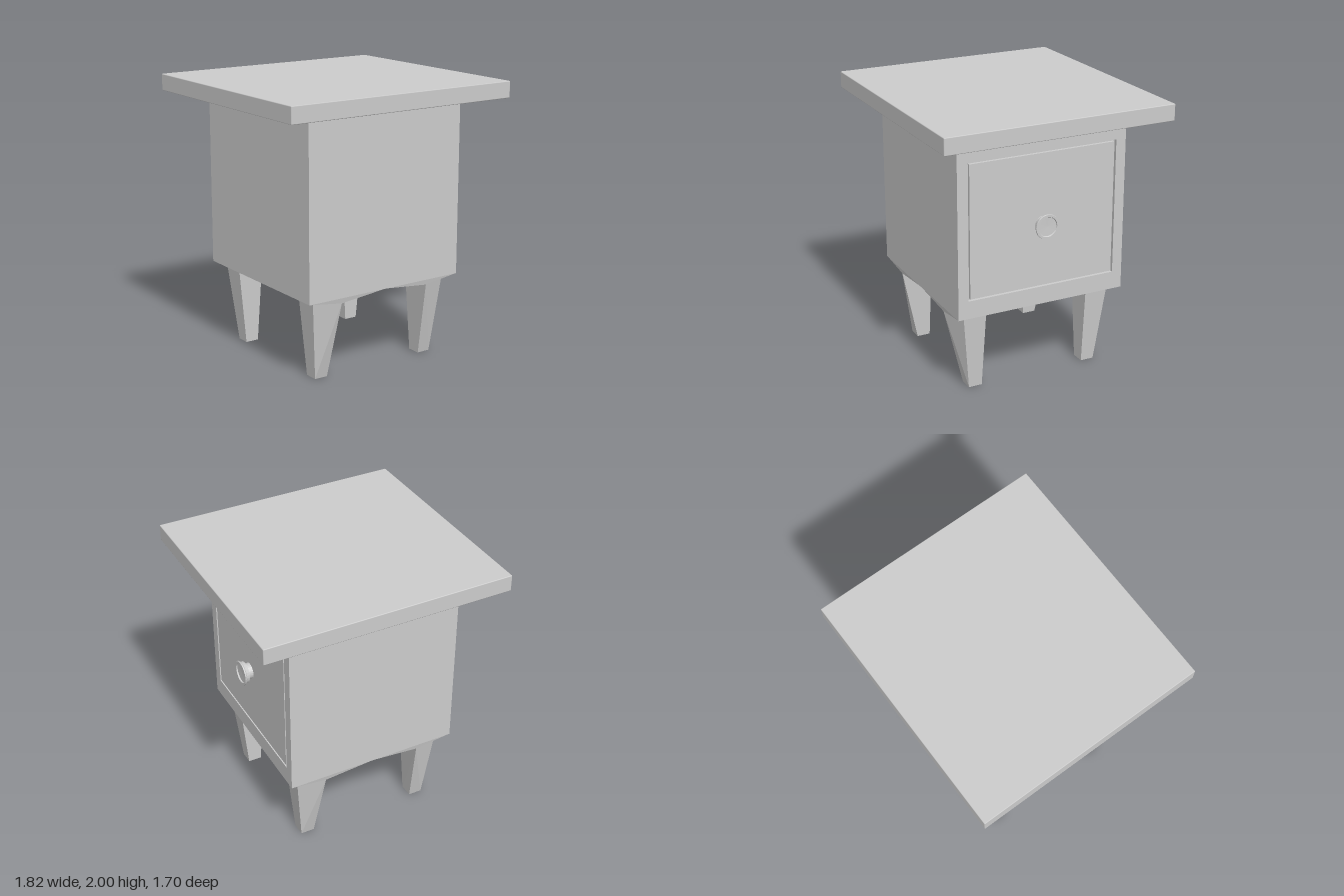
import * as THREE from 'three';
import { RoundedBoxGeometry } from 'three/addons/geometries/RoundedBoxGeometry.js';
import { ConvexGeometry } from 'three/addons/geometries/ConvexGeometry.js';

export function createModel() {
  const group = new THREE.Group();
  const grey = new THREE.MeshStandardMaterial({ color: 0xcccccc });
  grey.name = 'paintedWood';

  function add(name, geometry, x = 0, y = 0, z = 0) {
    const mesh = new THREE.Mesh(geometry, grey);
    mesh.name = name;
    mesh.position.set(x, y, z);
    group.add(mesh);
    return mesh;
  }

  // Box given by its minimum and maximum corners
  function addBox(name, [x0, y0, z0], [x1, y1, z1]) {
    return add(name, new THREE.BoxGeometry(x1 - x0, y1 - y0, z1 - z0),
      (x0 + x1) / 2, (y0 + y1) / 2, (z0 + z1) / 2);
  }

  // Flat rectangular frame with a rectangular opening: [x0, y0, x1, y1]
  function frame(outer, inner, depth) {
    const corners = ([x0, y0, x1, y1]) => [[x0, y0], [x1, y0], [x1, y1], [x0, y1]]
      .map(([x, y]) => new THREE.Vector2(x, y));
    const shape = new THREE.Shape(corners(outer));
    shape.holes.push(new THREE.Path(corners(inner)));
    return new THREE.ExtrudeGeometry(shape, { depth, bevelEnabled: false });
  }

  // Overhanging top
  add('tableTop', new RoundedBoxGeometry(1.82, 0.12, 1.7, 1, 0.006), 0, 1.94, 0);

  // Cabinet with a framed drawer opening and a shallow recess underneath
  addBox('cabinet', [-0.64, 0.615, -0.64], [0.615, 1.88, 0.64]);
  const drawerFrame = add('drawerFrame',
    frame([-0.64, 0.615, 0.64, 1.88], [-0.565, 0.73, 0.565, 1.715], 0.023), 0.615);
  drawerFrame.rotation.y = Math.PI / 2;
  const rim = add('bottomRim',
    frame([-0.64, -0.64, 0.638, 0.64], [-0.57, -0.57, 0.57, 0.57], 0.015), 0, 0.615, 0);
  rim.rotation.x = Math.PI / 2;
  addBox('drawerFront', [0.61, 0.743, -0.55], [0.636, 1.702, 0.55]);

  // Round knob with a dished face
  const profile = [[0, 0], [0.058, 0], [0.055, 0.034], [0.076, 0.036], [0.082, 0.06],
    [0.09, 0.068], [0.088, 0.075], [0.072, 0.075], [0.068, 0.066], [0, 0.064]];
  const knobGeometry = new THREE.LatheGeometry(
    profile.map(([r, h]) => new THREE.Vector2(r, h)), 24).toNonIndexed();
  knobGeometry.computeVertexNormals();
  const knob = add('knob', knobGeometry, 0.635, 1.195, 0);
  knob.rotation.z = -Math.PI / 2;

  // Splayed tapered legs, each with a corner bracket rising to the middle of the apron
  const legPoints = [
    [0.405, 0, 0.405], [0.505, 0, 0.405], [0.405, 0, 0.505], [0.505, 0, 0.505],
    [0.565, 0.6, 0.57], [0.565, 0.6, 0.395], [0.367, 0.56, 0.63], [0.367, 0.57, 0.395],
    [0.565, 0.617, 0.57], [0.565, 0.617, 0.395],
  ];
  const bracketPoints = [
    [0.638, 0.6, 0.638], [0, 0.6, 0.638], [0, 0.6, 0.57], [0.565, 0.6, 0.395],
    [0.34, 0.6, 0.31], [0.367, 0.56, 0.63], [0.367, 0.57, 0.395],
    [0.565, 0.617, 0.395], [0.34, 0.617, 0.31], [0, 0.617, 0.57], [0.6, 0.617, 0.6],
  ];
  for (const sx of [-1, 1]) {
    for (const sz of [-1, 1]) {
      const hull = (points) => new ConvexGeometry(
        points.map(([x, y, z]) => new THREE.Vector3(sx * x, y, sz * z)));
      const side = (sz > 0 ? 'front' : 'back') + (sx > 0 ? 'Left' : 'Right');
      add(side + 'Leg', hull(legPoints));
      add(side + 'Bracket', hull(bracketPoints));
    }
  }
  return group;
}
